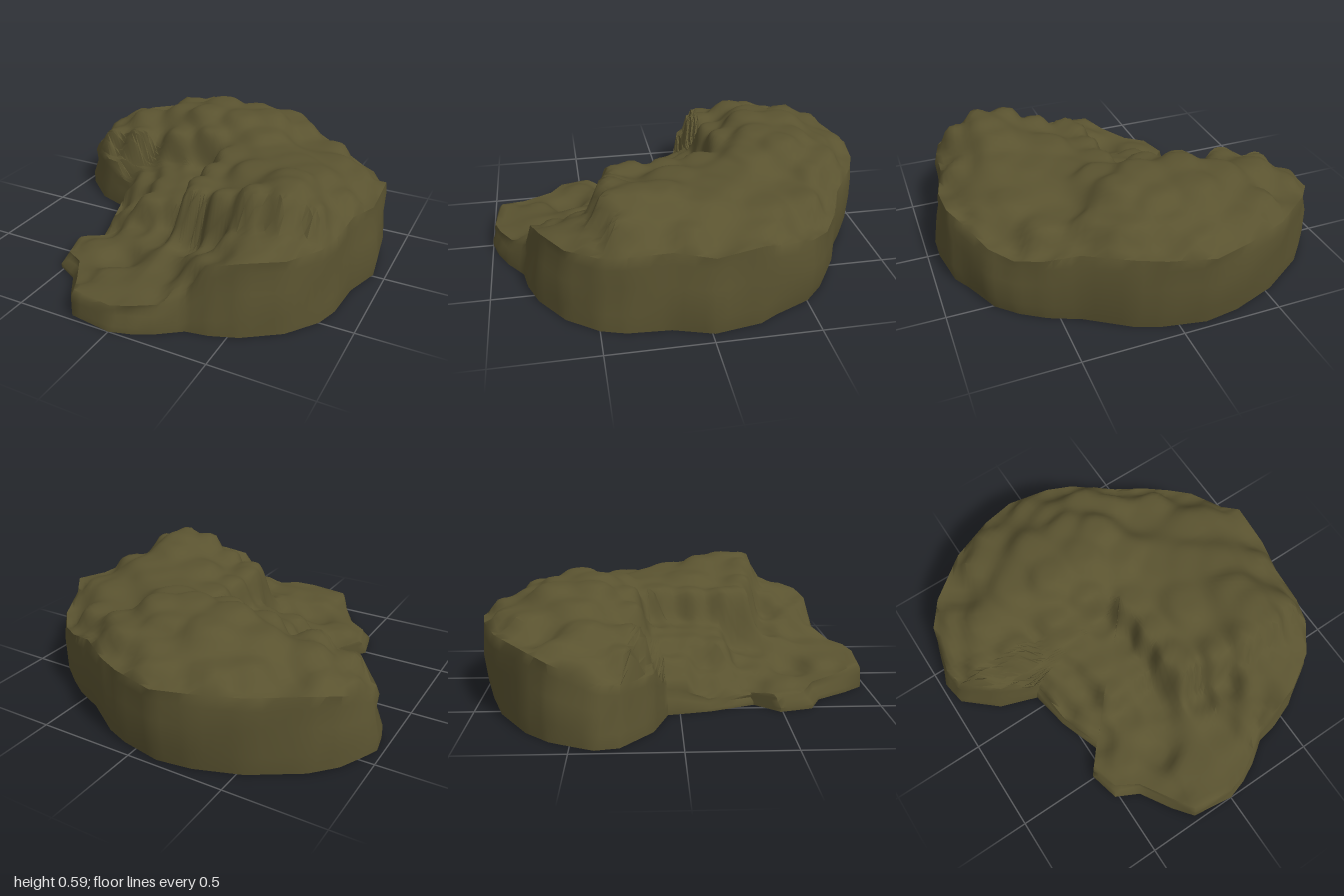
import * as THREE from 'three';
import { toCreasedNormals } from 'three/addons/utils/BufferGeometryUtils.js';

// Footprint, clockwise from the back: x, z, wall height, inward scale of the wall's top
const OUTLINE = [
  [-0.14, -1, 0.39, 1], [0.08, -0.96, 0.4, 0.99], [0.21, -0.91, 0.4, 0.98], [0.42, -0.77, 0.38, 0.97],
  [0.58, -0.7, 0.34, 0.97], [0.7, -0.62, 0.32, 0.97], [0.8, -0.52, 0.34, 0.96], [0.88, -0.33, 0.38, 0.96],
  [0.93, -0.24, 0.42, 0.97], [0.96, -0.01, 0.38, 0.94], [0.89, 0.18, 0.4, 0.96], [0.87, 0.38, 0.39, 0.97],
  [0.83, 0.5, 0.38, 0.98], [0.72, 0.65, 0.37, 0.98], [0.55, 0.77, 0.37, 0.97], [0.42, 0.82, 0.34, 0.96],
  [0.31, 0.84, 0.2, 0.96], [0.2, 0.92, 0.14, 0.97], [0.1, 0.97, 0.14, 0.98], [0, 1, 0.13, 0.98],
  [-0.22, 0.97, 0.13, 0.98], [-0.3, 0.87, 0.1, 0.96], [-0.4, 0.71, 0.09, 0.96], [-0.52, 0.65, 0.08, 0.95],
  [-0.56, 0.49, 0.08, 0.95], [-0.46, 0.37, 0.06, 0.97], [-0.54, 0.15, 0.06, 0.97], [-0.58, -0.06, 0.14, 0.95],
  [-0.78, -0.13, 0.26, 0.94], [-0.95, -0.28, 0.27, 0.95], [-0.97, -0.39, 0.28, 0.95], [-0.88, -0.6, 0.36, 0.98],
  [-0.78, -0.72, 0.39, 0.98], [-0.55, -0.88, 0.4, 0.99], [-0.32, -0.97, 0.4, 0.99],
];
const CENTRE = [0.05, -0.15];
const pull = (v, k, scale) => CENTRE[k] + (v - CENTRE[k]) * scale;

// Height marks on the top: x, z, y
const BACK_LOBE = [
  [-0.86, -0.42, 0.38], [-0.76, -0.27, 0.4], [-0.56, -0.22, 0.45], [-0.64, -0.44, 0.48],
  [-0.76, -0.56, 0.43], [-0.66, -0.68, 0.38], [-0.5, -0.74, 0.49], [-0.4, -0.5, 0.53],
  [-0.3, -0.23, 0.49], [-0.22, -0.42, 0.58], [0, -0.42, 0.58], [-0.1, -0.24, 0.53],
  [0.14, -0.52, 0.58], [0.18, -0.33, 0.54], [-0.2, -0.62, 0.57], [0, -0.66, 0.56],
  [-0.02, -0.75, 0.5], [0.18, -0.75, 0.51], [-0.1, -0.89, 0.47], [-0.35, -0.84, 0.48],
  [0.3, -0.64, 0.5], [0.4, -0.5, 0.44], [0.53, -0.55, 0.45],
];
const DOME = [
  [0.62, -0.3, 0.47], [0.76, -0.28, 0.45], [0.3, -0.2, 0.5], [0.45, -0.1, 0.51],
  [0.08, -0.1, 0.49], [0.07, 0.08, 0.48], [0.3, 0.08, 0.52], [0.58, 0, 0.52],
  [0.55, 0.16, 0.57], [0.78, 0.1, 0.48], [0.07, 0.26, 0.48], [0.12, 0.36, 0.48],
  [0.28, 0.4, 0.51], [0.44, 0.42, 0.58], [0.6, 0.42, 0.59], [0.58, 0.3, 0.59],
  [0.74, 0.38, 0.54], [0.4, 0.53, 0.38], [0.55, 0.54, 0.41], [0.71, 0.5, 0.41], [0.56, 0.66, 0.39],
];
const LEDGES = [
  [0.28, 0.52, 0.24], [0.35, 0.7, 0.31], [0.14, 0.48, 0.17], [0.12, 0.72, 0.16], [-0.08, 0.42, 0.14],
  [-0.13, 0.75, 0.14], [-0.05, 0.2, 0.29], [-0.05, 0.04, 0.3], [-0.24, 0.04, 0.3], [-0.24, 0.2, 0.28],
  [-0.1, -0.12, 0.31], [-0.3, -0.1, 0.31], [-0.39, -0.02, 0.24], [-0.38, 0.16, 0.15], [-0.25, 0.34, 0.13],
  [-0.38, 0.52, 0.11], [-0.2, 0.6, 0.07], [-0.48, -0.1, 0.26], [-0.06, 0.32, 0.15],
];
const RIM_MARKS = OUTLINE.map(([x, z, y, s]) => [pull(x, 0, s), pull(z, 1, s), y]);
const MARKS = [...BACK_LOBE, ...DOME, ...LEDGES, ...RIM_MARKS];

// Blend the marks so each forms a small plateau with steep joins
function heightAt(x, z) {
  let sum = 0, total = 0;
  for (const [mx, mz, my] of MARKS) {
    const weight = 1 / (((x - mx) ** 2 + (z - mz) ** 2) ** 2 + 4e-6);
    sum += weight * my;
    total += weight;
  }
  return sum / total;
}

// The foot of the wall is cut under along the back and its left corner
const undercut = ([x, z]) => 0.045 * THREE.MathUtils.clamp(0.5 * x - z, 0, 1);

function rockGeometry() {
  // Footprint with every edge cut in four
  const rim = [];
  OUTLINE.forEach((p, i) => {
    const q = OUTLINE[(i + 1) % OUTLINE.length];
    for (let t = 0; t < 1; t += 0.25) rim.push(p.map((v, k) => v + (q[k] - v) * t));
  });
  const n = rim.length, rings = [];
  const addRing = (scaleOf, heightOf) => rings.push(rim.map((p, i) => {
    const s = scaleOf(p, i), x = pull(p[0], 0, s), z = pull(p[1], 1, s);
    return [x, heightOf(p[2], x, z), z];
  }));

  // Flat underside, then the uneven outer wall
  addRing(() => 0, () => 0);
  addRing((p) => 1 - undercut(p), () => 0);
  addRing((p) => 1 - undercut(p) * 0.4, (h) => h * 0.25);
  addRing((p, i) => 0.4 + 0.6 * p[3] - 0.01 * Math.sin(i * 0.45), (h) => h * 0.6);
  addRing((p, i) => 0.2 + 0.8 * p[3] - 0.01 * Math.sin(i * 0.36 + 1), (h) => h * 0.85);
  addRing((p) => p[3], (h) => h);
  // Lumpy top, running in to the middle
  const steps = 32;
  for (let k = 1; k <= steps; k++) addRing((p) => p[3] * (1 - k / steps), (h, x, z) => heightAt(x, z));

  const index = [];
  for (let k = 0; k < rings.length - 1; k++) {
    for (let i = 0; i < n; i++) {
      const j = (i + 1) % n;
      const a = k * n + i, b = k * n + j, c = a + n, d = b + n;
      if (k > 0) index.push(a, c, b);
      if (k < rings.length - 2) index.push(b, c, d);
    }
  }
  const geometry = new THREE.BufferGeometry();
  geometry.setAttribute('position', new THREE.Float32BufferAttribute(rings.flat(2), 3));
  geometry.setIndex(index);
  return toCreasedNormals(geometry, 1);
}

export function createModel() {
  const stone = new THREE.MeshStandardMaterial({ color: 0x5a5330 });
  stone.name = 'mossy stone';
  const rock = new THREE.Mesh(rockGeometry(), stone);
  rock.name = 'rock';
  const model = new THREE.Group();
  model.name = 'boulder';
  model.add(rock);
  return model;
}
